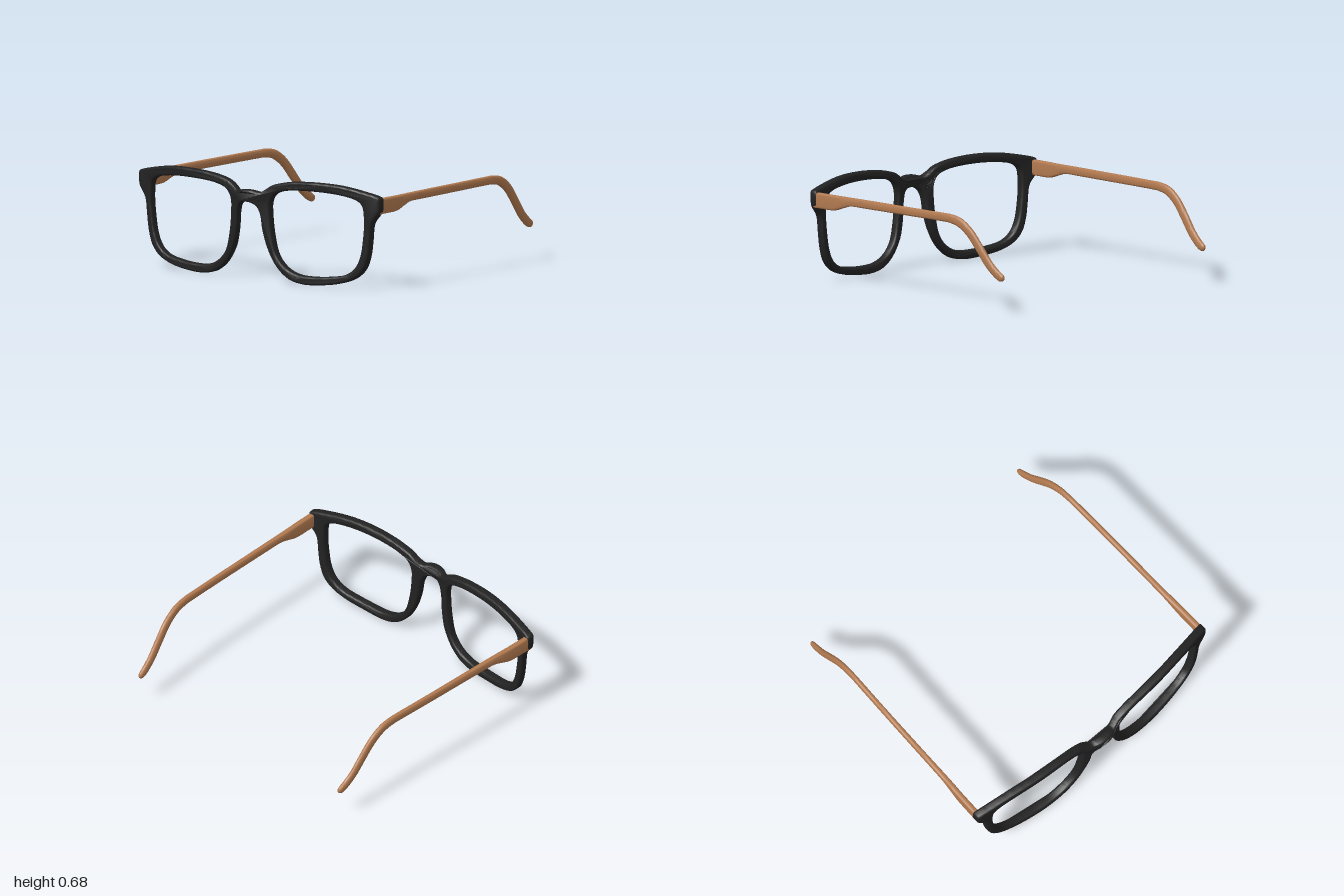
import * as THREE from 'three';
import { toCreasedNormals } from 'three/addons/utils/BufferGeometryUtils.js';

// Outline of one half of the front, clockwise from top centre to bottom centre
const OUTER = [
  [0, .605], [.05, .601], [.09, .592], [.128, .613], [.18, .645], [.28, .671], [.4, .685], [.55, .69], [.71, .683],
  [.87, .657], [.985, .629], [.996, .62], [.996, .535], [.985, .512], [.94, .45], [.925, .34], [.91, .235],
  [.877, .144], [.813, .08], [.706, .037], [.545, .012], [.41, .008], [.305, .032], [.214, .1],
  [.144, .21], [.107, .34], [.092, .45], [.064, .505], [0, .524],
];
// Opening of one lens, clockwise
const LENS = [
  [.16, .45], [.163, .53], [.195, .583], [.278, .615], [.49, .631], [.706, .622], [.825, .597], [.868, .565],
  [.882, .47], [.873, .34], [.85, .22], [.81, .145], [.74, .097], [.62, .073], [.47, .063],
  [.37, .07], [.28, .107], [.212, .18], [.177, .3],
];
// Depth of the front across its width: [x, z]
const WRAP = [[0, .917], [.05, .911], [.13, .878], [.2, .871], [.5, .855], [.75, .82], [1, .774]];
// Temple sections: [x, y, z, half width, half height]
const TEMPLE = [
  [.974, .565, .78, .02, .051], [.973, .565, .7, .02, .051], [.971, .566, .6, .02, .05],
  [.968, .578, .52, .02, .038], [.965, .588, .44, .019, .028], [.962, .589, .3, .018, .028],
  [.953, .589, -.1, .017, .028], [.944, .589, -.4, .017, .028], [.941, .586, -.48, .017, .029],
  [.937, .567, -.565, .018, .031], [.931, .507, -.655, .018, .032], [.923, .41, -.74, .018, .032],
  [.916, .325, -.81, .018, .031], [.91, .272, -.87, .018, .03], [.906, .246, -.91, .017, .028],
  [.905, .237, -.933, .014, .021], [.904, .233, -.944, .006, .009],
];

const mirror = points => points.map(([x, y]) => [-x, y]);

function smoothLoop(points, count) {
  const curve = new THREE.CatmullRomCurve3(points.map(([x, y]) => new THREE.Vector3(x, y, 0)), true);
  return curve.getPoints(count).slice(0, -1).map(p => new THREE.Vector2(p.x, p.y));
}

// Front with two openings, rounded edges and a gentle wrap
function frontGeometry() {
  const otherHalf = mirror(OUTER.slice(1, -1)).reverse();
  const shape = new THREE.Shape(smoothLoop([...OUTER, ...otherHalf], 280));
  // Openings run counter-clockwise, against the outline
  for (const lens of [[...LENS].reverse(), mirror(LENS)]) {
    shape.holes.push(new THREE.Path(smoothLoop(lens, 114)));
  }
  const geometry = new THREE.ExtrudeGeometry(shape, {
    depth: .028, bevelThickness: .016, bevelSize: .014, bevelOffset: -.014, bevelSegments: 4, steps: 1,
  });
  const wrap = new THREE.SplineCurve(WRAP.map(p => new THREE.Vector2(...p))).getPoints(90);
  const depthAt = x => {
    let i = 1;
    while (i < wrap.length - 1 && wrap[i].x < x) i++;
    const a = wrap[i - 1], b = wrap[i];
    return THREE.MathUtils.mapLinear(x, a.x, b.x, a.y, b.y);
  };
  const pos = geometry.attributes.position;
  for (let i = 0; i < pos.count; i++) {
    const lean = .02 * (pos.getY(i) - .4);
    pos.setZ(i, pos.getZ(i) - .014 + depthAt(Math.abs(pos.getX(i))) + lean);
  }
  return toCreasedNormals(geometry, .7);
}

// Temple swept through its sections, boxy at the hinge and round at the tip
function templeGeometry(side) {
  const centre = new THREE.CatmullRomCurve3(
    TEMPLE.map(([x, y, z]) => new THREE.Vector3(x * side, y, z)), false, 'catmullrom');
  const size = new THREE.CatmullRomCurve3(
    TEMPLE.map(s => new THREE.Vector3(s[3], s[4], 0)), false, 'catmullrom');
  const rows = 80, sides = 20, positions = [], index = [];
  for (let i = 0; i <= rows; i++) {
    const t = i / rows, c = centre.getPoint(t), s = size.getPoint(t), d = centre.getTangent(t);
    const len = Math.hypot(d.y, d.z);
    const power = THREE.MathUtils.lerp(.3, .85, Math.min(1, t * 1.5));
    for (let j = 0; j < sides; j++) {
      const a = j / sides * Math.PI * 2, cos = Math.cos(a), sin = Math.sin(a);
      const u = Math.sign(cos) * Math.abs(cos) ** power * s.x;
      const v = Math.sign(sin) * Math.abs(sin) ** power * s.y;
      positions.push(c.x + u, c.y - v * d.z / len, c.z + v * d.y / len);
      if (i === rows) continue;
      const k = i * sides + j, n = i * sides + (j + 1) % sides;
      index.push(k, k + sides, n, n, k + sides, n + sides);
    }
  }
  // End caps
  const last = rows * sides;
  for (let j = 1; j < sides - 1; j++) index.push(0, j, j + 1, last, last + j + 1, last + j);
  const geometry = new THREE.BufferGeometry();
  geometry.setAttribute('position', new THREE.Float32BufferAttribute(positions, 3));
  geometry.setIndex(index);
  return toCreasedNormals(geometry, .7);
}

export function createModel() {
  const black = new THREE.MeshStandardMaterial({ color: 0x222222 });
  black.name = 'black';
  const wood = new THREE.MeshStandardMaterial({ color: 0xb27a50 });
  wood.name = 'warm wood';

  const model = new THREE.Group();
  model.name = 'glasses';
  const add = (name, geometry, material) => {
    const mesh = new THREE.Mesh(geometry, material);
    mesh.name = name;
    model.add(mesh);
  };
  add('frontFrame', frontGeometry(), black);
  add('leftTemple', templeGeometry(1), wood);
  add('rightTemple', templeGeometry(-1), wood);
  return model;
}
